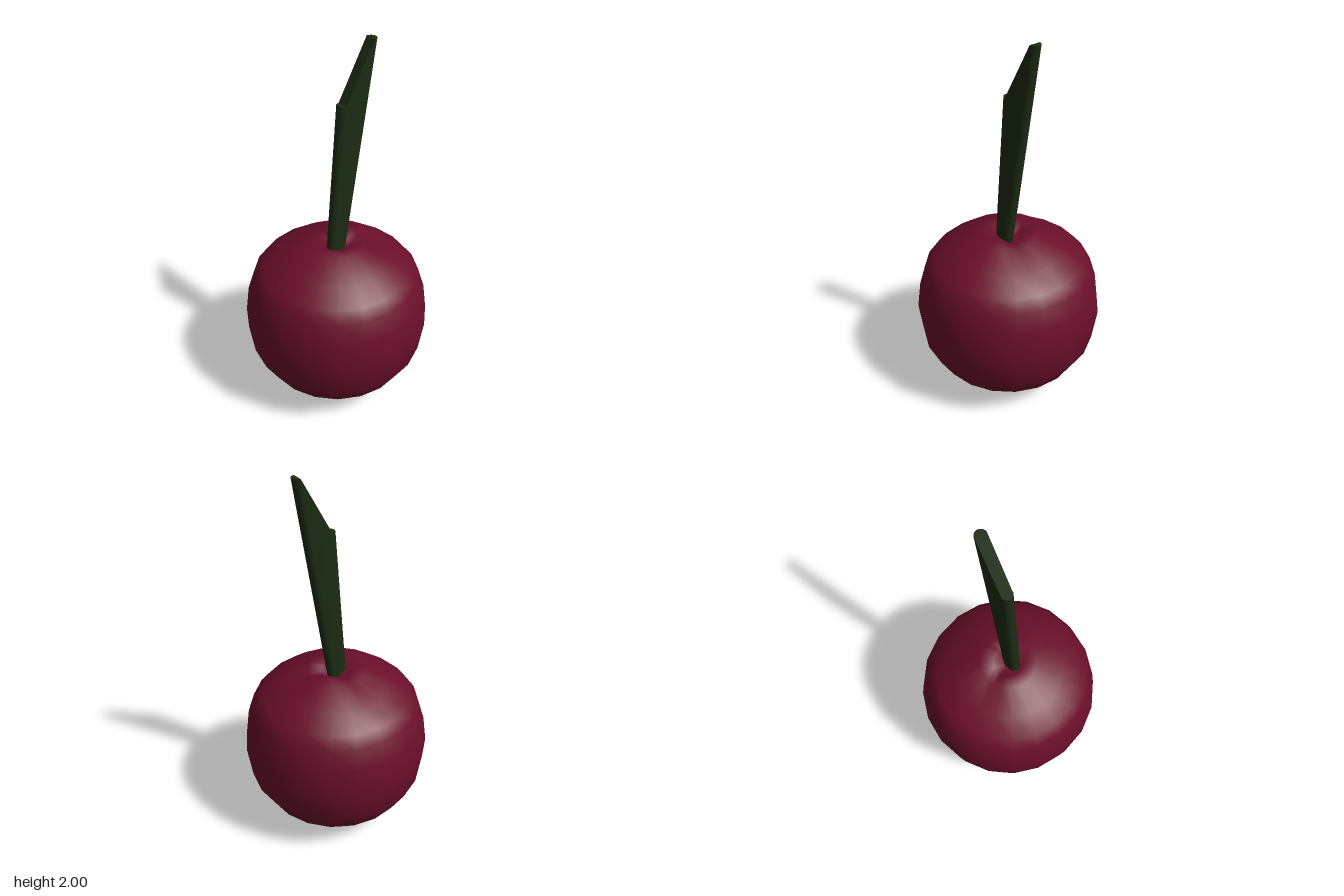
import * as THREE from 'three';
import { mergeVertices, toCreasedNormals } from 'three/addons/utils/BufferGeometryUtils.js';

// Round fruit: a lathe with a stem hollow and two shallow grooves pressed into its top
function fruitGeometry() {
  const profile = [
    [0, 0], [0.155, 0.02], [0.29, 0.08], [0.4, 0.17], [0.475, 0.3], [0.5, 0.48], [0.48, 0.63],
    [0.445, 0.74], [0.4, 0.795], [0.3, 0.87], [0.15, 0.937], [0.08, 0.93], [0, 0.875],
  ].map(([r, y]) => new THREE.Vector2(r, y));
  let geo = new THREE.LatheGeometry(profile, 20);
  geo.deleteAttribute('uv');
  geo.deleteAttribute('normal');
  geo = mergeVertices(geo, 1e-4);

  const grooves = [[-1, 0.15], [0.4, -0.95]].map(([x, z]) => Math.atan2(z, x));
  const p = geo.attributes.position;
  for (let i = 0; i < p.count; i++) {
    const x = p.getX(i), y = p.getY(i), z = p.getZ(i), r = Math.hypot(x, z);
    if (y < 0.8 || r < 0.02) continue;
    for (const g of grooves) {
      const away = 1 - Math.cos(Math.atan2(z, x) - g);
      const depth = 0.035 * Math.exp(-away * 12) * (1 - r / 0.5);
      p.setY(i, p.getY(i) - depth);
    }
  }
  geo.computeVertexNormals();
  return geo;
}

// Stem: a flattened rod with rounded front and back, leaning back, its top cut in a slope
function stemGeometry() {
  const h = 8, n = 2 * (h + 1), radius = 0.03, cx = 0.014;
  const positions = [], index = [];
  const ring = (frontZ, frontY, backZ, backY) => {
    for (const [z, y, start] of [[frontZ, frontY, 0], [backZ, backY, Math.PI]]) {
      for (let i = 0; i <= h; i++) {
        const a = start + (Math.PI * i) / h;
        positions.push(cx + radius * Math.cos(a), y, z + radius * Math.sin(a));
      }
    }
  };
  ring(0.04, 0.86, -0.003, 0.86);
  ring(-0.027, 1.71, -0.188, 2);

  // Side wall
  for (let i = 0; i < n; i++) {
    const j = (i + 1) % n;
    index.push(i, i + n, j, j, i + n, j + n);
  }
  // End faces: a half disc at front and back, joined by a quad
  const cap = (o, up) => {
    const tri = (a, b, c) => (up ? index.push(o + a, o + b, o + c) : index.push(o + a, o + c, o + b));
    for (let i = 1; i < h; i++) {
      tri(0, i + 1, i);
      tri(h + 1, h + 2 + i, h + 1 + i);
    }
    tri(0, n - 1, h + 1);
    tri(0, h + 1, h);
  };
  cap(0, false);
  cap(n, true);

  const geo = new THREE.BufferGeometry();
  geo.setAttribute('position', new THREE.Float32BufferAttribute(positions, 3));
  geo.setIndex(index);
  return toCreasedNormals(geo, 0.7);
}

export function createModel() {
  const group = new THREE.Group();
  const add = (name, geo, color) => {
    const mesh = new THREE.Mesh(geo, new THREE.MeshStandardMaterial({ color }));
    mesh.name = name;
    group.add(mesh);
  };
  add('fruit', fruitGeometry(), 0x6b0f2b);
  add('stem', stemGeometry(), 0x1c2c12);
  return group;
}
